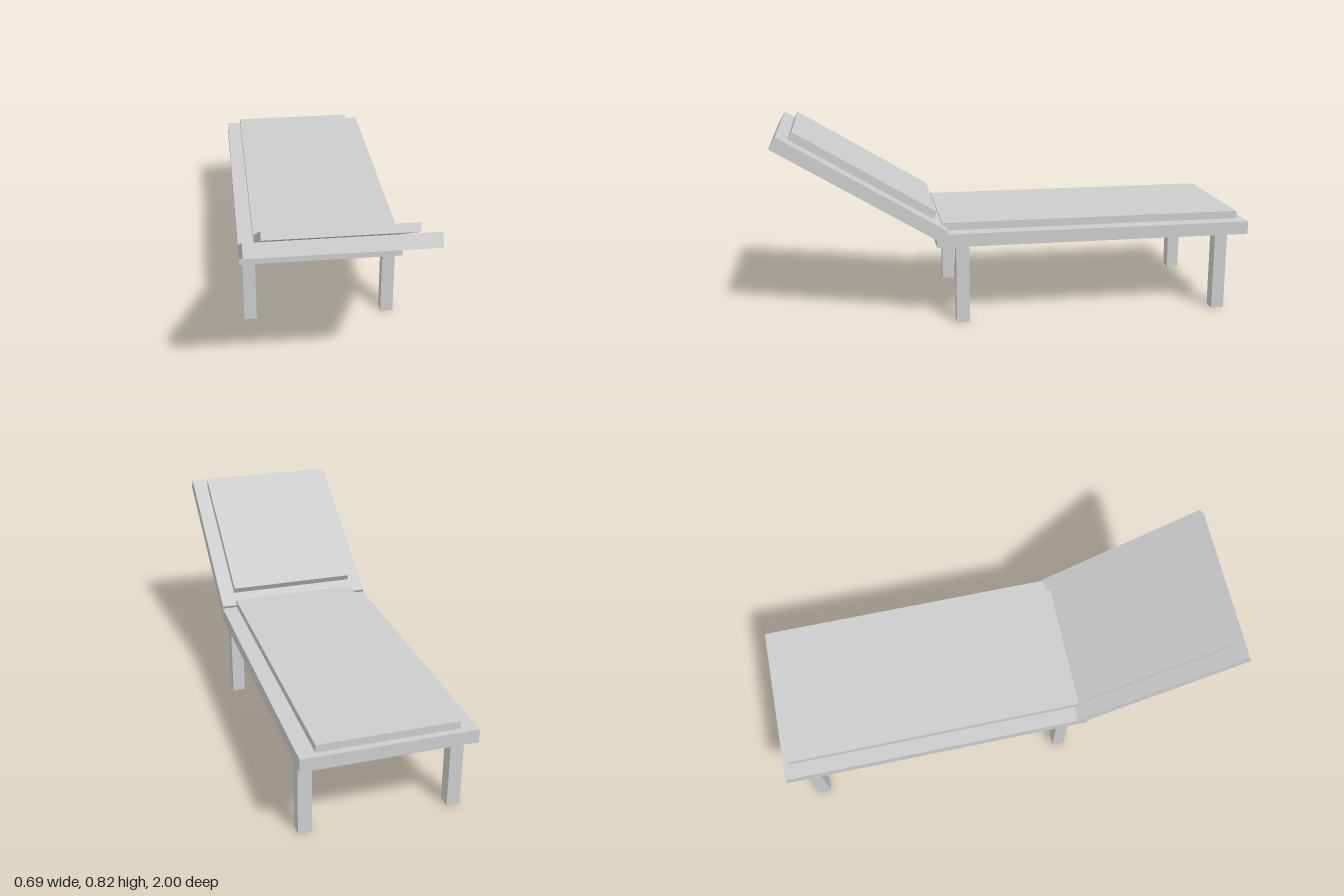
import * as THREE from 'three';

export function createModel() {
  const model = new THREE.Group();
  model.name = 'sunLounger';
  const grey = new THREE.MeshStandardMaterial({ color: 0xcccccc });
  grey.name = 'lightGrey';

  const addBox = (parent, name, size, position) => {
    const mesh = new THREE.Mesh(new THREE.BoxGeometry(...size), grey);
    mesh.name = name;
    mesh.position.set(...position);
    parent.add(mesh);
    return mesh;
  };

  // Flat bed frame and its cushion
  addBox(model, 'bedFrame', [0.694, 0.055, 1.347], [0, 0.3625, -0.3265]);
  addBox(model, 'seatCushion', [0.562, 0.033, 1.291], [0, 0.4055, -0.3275]);

  // Reclined backrest: board with a cushion just above it
  const backrest = new THREE.Group();
  backrest.name = 'backrest';
  backrest.position.set(0, 0.585, 0.65);
  backrest.rotation.x = THREE.MathUtils.degToRad(-31.4);
  addBox(backrest, 'backrestBoard', [0.694, 0.055, 0.787], [0, 0, 0]);
  addBox(backrest, 'backrestCushion', [0.562, 0.034, 0.672], [0, 0.049, 0.01]);
  model.add(backrest);

  // Four square legs
  for (const [side, x] of [['left', 0.304], ['right', -0.304]]) {
    for (const [end, z] of [['Front', 0.239], ['Back', -0.886]]) {
      addBox(model, `${side}${end}Leg`, [0.055, 0.335, 0.055], [x, 0.1675, z]);
    }
  }
  return model;
}
